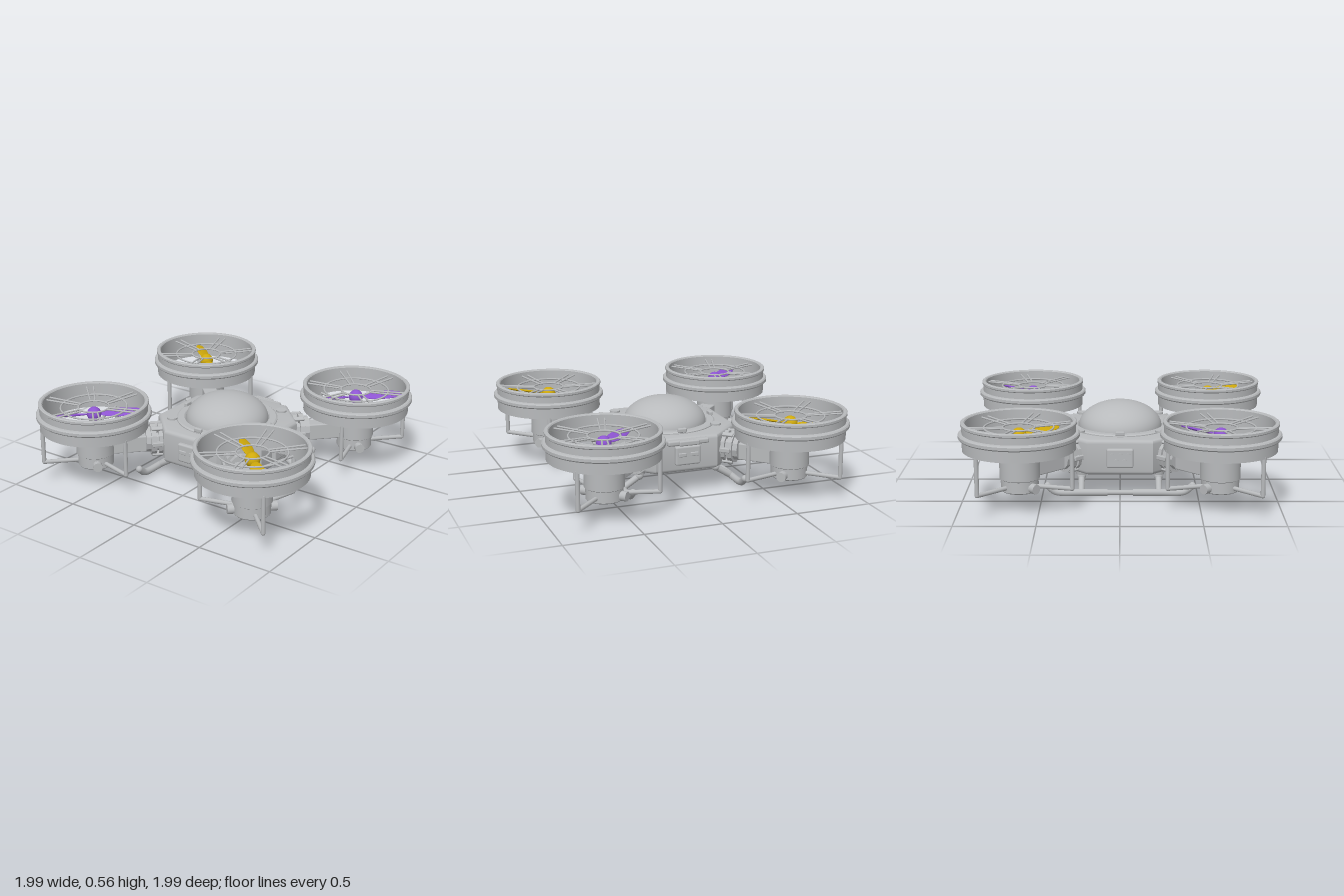
import * as THREE from 'three';
import { toCreasedNormals } from 'three/addons/utils/BufferGeometryUtils.js';
import { RoundedBoxGeometry } from 'three/addons/geometries/RoundedBoxGeometry.js';

const material = (name, color) => Object.assign(new THREE.MeshStandardMaterial({ color }), { name });
const V = (x, y, z) => new THREE.Vector3(x, y, z);

export function createModel() {
  const grey = material('lightGrey', 0xb8babc);
  const gold = material('gold', 0xd0aa0c);
  const purple = material('purple', 0x8e55d2);
  const model = new THREE.Group();
  model.name = 'quadcopter';

  const add = (parent, name, geometry, x = 0, y = 0, z = 0, mat = grey) => {
    const mesh = new THREE.Mesh(geometry, mat);
    mesh.name = name;
    mesh.position.set(x, y, z);
    parent.add(mesh);
    return mesh;
  };
  const box = (w, h, d, r = 0.008) => new RoundedBoxGeometry(w, h, d, 2, r);
  const lathe = (points, segments = 48) => toCreasedNormals(
    new THREE.LatheGeometry(points.map(p => new THREE.Vector2(...p)), segments), 0.6);
  // Round bar between two points
  const rod = (parent, name, a, b, r, sides = 12) => {
    const mesh = add(parent, name, new THREE.CylinderGeometry(r, r, a.distanceTo(b), sides));
    mesh.position.copy(a).add(b).multiplyScalar(0.5);
    mesh.quaternion.setFromUnitVectors(V(0, 1, 0), b.clone().sub(a).normalize());
    return mesh;
  };
  const polar = (r, a, y) => V(r * Math.cos(a), y, r * Math.sin(a));
  const flatRing = (parent, name, r, tube, y) => {
    add(parent, name, new THREE.TorusGeometry(r, tube, 8, 48), 0, y, 0).rotation.x = Math.PI / 2;
  };

  // Eight-sided body with bevelled edges
  const h = 0.39, c = 0.2, bevel = 0.025;
  const outline = new THREE.Shape([[h, c], [c, h], [-c, h], [-h, c], [-h, -c], [-c, -h], [c, -h], [h, -c]]
    .map(p => new THREE.Vector2(...p)));
  const bodyGeometry = new THREE.ExtrudeGeometry(outline, {
    depth: 0.18, bevelEnabled: true, bevelSize: bevel, bevelThickness: bevel, bevelSegments: 4 });
  bodyGeometry.rotateX(-Math.PI / 2);
  add(model, 'body', toCreasedNormals(bodyGeometry, 0.5), 0, 0.182, 0);

  // Dome, its collar, tabs and corner screws
  add(model, 'domeCollar', lathe([[0.335, 0.375], [0.335, 0.393], [0.325, 0.4], [0.285, 0.4], [0.275, 0.39]], 64));
  const dome = [];
  for (let i = 0; i <= 16; i++) {
    const a = i / 16 * Math.PI / 2;
    dome.push([0.275 * Math.cos(a), 0.385 + 0.17 * Math.sin(a)]);
  }
  add(model, 'dome', lathe(dome, 64));
  for (let i = 0; i < 4; i++) {
    const side = new THREE.Group();
    side.name = 'bodySide';
    side.rotation.y = i * Math.PI / 2;
    model.add(side);
    add(side, 'collarTab', box(0.06, 0.03, 0.025), 0, 0.408, 0.325);
    add(side, 'cornerScrew', new THREE.CylinderGeometry(0.035, 0.035, 0.012, 20), 0.26, 0.41, 0.26);
    add(side, 'sidePlate', box(0.17, 0.125, 0.05, 0.012), 0, 0.272, 0.415);
    if (i % 2 === 0) {
      for (const x of [-0.04, 0.04]) add(side, 'slot', box(0.055, 0.026, 0.012, 0.005), x, 0.28, 0.441);
    } else {
      for (const [x, y] of [[-0.05, 0.292], [0, 0.292], [0.05, 0.292], [-0.025, 0.252], [0.025, 0.252]]) {
        add(side, 'button', new THREE.CylinderGeometry(0.018, 0.018, 0.012, 6), x, y, 0.442).rotation.x = Math.PI / 2;
      }
    }
  }
  add(model, 'backBar', box(0.28, 0.035, 0.05, 0.012), 0, 0.362, -0.425);
  add(model, 'backBarCap', box(0.14, 0.035, 0.03, 0.01), 0, 0.362, -0.452);

  // Landing skids
  for (const s of [-1, 1]) {
    const skid = new THREE.Group();
    skid.name = s > 0 ? 'leftSkid' : 'rightSkid';
    model.add(skid);
    rod(skid, 'skidBar', V(s * 0.385, 0.034, -0.1), V(s * 0.385, 0.034, 0.1), 0.017);
    for (const e of [-1, 1]) {
      const path = new THREE.CatmullRomCurve3([[0.034, 0.085], [0.034, 0.25], [0.034, 0.385], [0.043, 0.42], [0.08, 0.465]]
        .map(([y, z]) => V(s * 0.385, y, e * z)));
      add(skid, 'skidTip', new THREE.TubeGeometry(path, 24, 0.023, 12));
      add(skid, 'skidEnd', new THREE.SphereGeometry(0.023, 12, 8), s * 0.385, 0.08, e * 0.465);
      add(skid, 'skidSleeveEnd', new THREE.CylinderGeometry(0.023, 0.023, 0.006, 12), s * 0.385, 0.034, e * 0.085).rotation.x = Math.PI / 2;
      rod(skid, 'skidLeg', V(s * 0.265, 0.11, e * 0.25), V(s * 0.385, 0.034, e * 0.25), 0.021);
      add(skid, 'legElbow', new THREE.SphereGeometry(0.028, 14, 10), s * 0.268, 0.11, e * 0.25);
      add(skid, 'legSocket', new THREE.CylinderGeometry(0.042, 0.036, 0.035, 16), s * 0.265, 0.143, e * 0.25);
    }
  }

  // Rotor pods: built with +x pointing outwards, then turned to each corner
  const ductProfile = [[0.33, 0.39], [0.352, 0.39], [0.352, 0.462], [0.368, 0.464], [0.375, 0.472], [0.375, 0.49],
    [0.368, 0.498], [0.352, 0.5], [0.352, 0.542], [0.358, 0.548], [0.358, 0.562], [0.352, 0.567],
    [0.336, 0.567], [0.33, 0.56], [0.33, 0.39]];
  const motorProfile = [[0, 0.19], [0.095, 0.19], [0.095, 0.13], [0.102, 0.124], [0.112, 0.124], [0.117, 0.13],
    [0.117, 0.2], [0.126, 0.206], [0.126, 0.335], [0.118, 0.345], [0.095, 0.345], [0.095, 0.385], [0.085, 0.395],
    [0.045, 0.395], [0.045, 0.415], [0.02, 0.415], [0.02, 0.47], [0, 0.47]];

  function addRotor(angle, bladeMaterial) {
    const arm = new THREE.Group();
    arm.name = 'rotorArm';
    arm.rotation.y = angle;
    model.add(arm);

    // Arm and its ribbed clamp
    add(arm, 'armBeam', box(0.32, 0.11, 0.1), 0.64, 0.255, 0);
    for (const [x, r, w] of [[0.425, 0.085, 0.09], [0.45, 0.105, 0.035], [0.5, 0.105, 0.035], [0.5, 0.085, 0.1]]) {
      const g = toCreasedNormals(new THREE.CylinderGeometry(r, r, w, 12), 0.4);
      add(arm, 'armClamp', g, x, 0.27, 0).rotation.z = Math.PI / 2;
    }
    for (let k = 0; k < 6; k++) {
      const a = k * Math.PI / 3;
      add(arm, 'clampRib', box(0.075, 0.04, 0.03, 0.006), 0.475, 0.27 + 0.095 * Math.sin(a), 0.095 * Math.cos(a))
        .rotation.x = Math.PI / 2 - a;
    }

    const pod = new THREE.Group();
    pod.name = 'rotorPod';
    pod.position.x = 0.622 * Math.SQRT2;
    arm.add(pod);
    add(pod, 'duct', lathe(ductProfile, 64));
    add(pod, 'motor', lathe(motorProfile, 40));
    add(pod, 'motorPlug', new THREE.SphereGeometry(0.03, 14, 10), 0, 0.185, 0);
    for (const s of [-1, 1]) {
      rod(pod, 'motorKnob', V(0, 0.157, s * 0.09), V(0, 0.157, s * 0.155), 0.031, 16);
    }
    for (let k = 0; k < 8; k++) {
      const a = k * Math.PI / 4 + 0.2;
      add(pod, 'motorFin', box(0.02, 0.04, 0.03, 0.004), 0.098 * Math.cos(a), 0.365, 0.098 * Math.sin(a)).rotation.y = -a;
    }

    // Three bent struts joining the motor to the duct
    for (let k = 0; k < 3; k++) {
      const a = k * Math.PI * 2 / 3;
      rod(pod, 'strutFoot', polar(0.1, a, 0.157), polar(0.34, a, 0.157), 0.014);
      rod(pod, 'strutPost', polar(0.34, a, 0.157), polar(0.34, a, 0.4), 0.014);
      add(pod, 'strutElbow', new THREE.SphereGeometry(0.014, 10, 8)).position.copy(polar(0.34, a, 0.157));
      rod(pod, 'lowerSpoke', polar(0.08, a, 0.4), polar(0.335, a, 0.4), 0.008, 8);
    }

    // Guard grille above the blades
    flatRing(pod, 'grilleRing', 0.215, 0.006, 0.525);
    flatRing(pod, 'grilleInnerRing', 0.1, 0.006, 0.525);
    for (let k = 0; k < 6; k++) {
      const a = Math.PI / 6 + k * Math.PI / 3;
      for (const s of [-1, 1]) {
        rod(pod, 'grilleSpoke', polar(0.1, a + s * 0.15, 0.525), polar(0.335, a + s * 0.07, 0.535), 0.006, 8);
      }
    }

    // Propeller
    const propeller = new THREE.Group();
    propeller.name = 'propeller';
    propeller.position.y = 0.475;
    pod.add(propeller);
    add(propeller, 'propellerHub', new THREE.SphereGeometry(0.047, 24, 16), 0, 0, 0, bladeMaterial);
    for (const s of [-1, 1]) {
      const blade = add(propeller, 'blade', new THREE.SphereGeometry(1, 24, 12), s * 0.182, 0, 0, bladeMaterial);
      blade.scale.set(0.15, 0.009, 0.043);
      blade.rotation.x = s * 0.3;
    }
  }
  for (let i = 0; i < 4; i++) addRotor(-Math.PI / 4 + i * Math.PI / 2, i % 2 ? purple : gold);

  return model;
}
